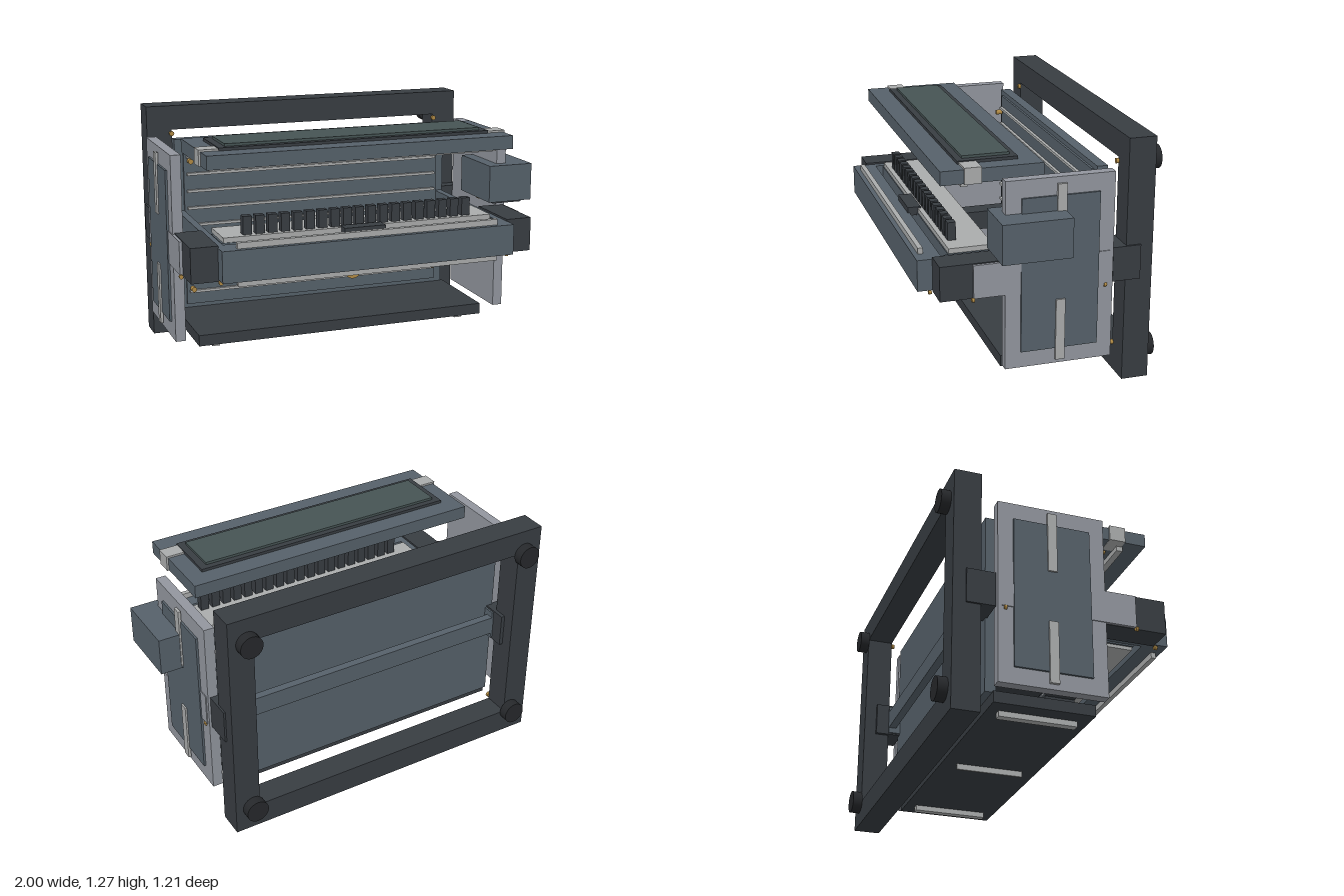
import * as THREE from 'three';

const CX = -0.055; // symmetry plane of the machine body

export function createModel() {
  const model = new THREE.Group();
  model.name = 'machine';
  const mat = (color) => new THREE.MeshStandardMaterial({ color });
  const dark = mat(0x383d42), black = mat(0x26282b), steel = mat(0x56616a);
  const plate = mat(0x92969e), light = mat(0xaaacac), brass = mat(0xb08a45), glass = mat(0x465454);

  const add = (name, geo, m) => {
    const mesh = new THREE.Mesh(geo, m);
    mesh.name = name;
    model.add(mesh);
    return mesh;
  };
  // box from its min and max on each axis
  const box = (name, m, x0, x1, y0, y1, z0, z1) =>
    add(name, new THREE.BoxGeometry(x1 - x0, y1 - y0, z1 - z0), m)
      .position.set((x0 + x1) / 2, (y0 + y1) / 2, (z0 + z1) / 2);
  // box centred across the machine, of half width h
  const wide = (name, m, h, ...yz) => box(name, m, CX - h, CX + h, ...yz);
  // mirrored pair of boxes, from a to b away from the symmetry plane
  const pair = (name, m, a, b, ...yz) => {
    box(name + 'Left', m, CX + a, CX + b, ...yz);
    box(name + 'Right', m, CX - b, CX - a, ...yz);
  };
  // cylinder along z
  const rod = (name, m, r, x, y, z0, z1, seg = 24) => {
    const c = add(name, new THREE.CylinderGeometry(r, r, z1 - z0, seg), m);
    c.rotation.x = Math.PI / 2;
    c.position.set(x, y, (z0 + z1) / 2);
  };

  // Rear frame with its opening
  const rect = (P, w, y0, y1) => {
    const p = new P();
    p.moveTo(CX - w, y0);
    p.lineTo(CX + w, y0);
    p.lineTo(CX + w, y1);
    p.lineTo(CX - w, y1);
    p.closePath();
    return p;
  };
  const outline = rect(THREE.Shape, 0.905, 0, 1.27);
  outline.holes.push(rect(THREE.Path, 0.77, 0.13, 1.14));
  add('rearFrame', new THREE.ExtrudeGeometry(outline, { depth: 0.14, bevelEnabled: false }), dark)
    .position.z = -0.555;

  // Corner feet and frame screws
  for (const s of [-1, 1]) {
    for (const t of [-1, 1]) {
      rod('rearFoot', black, 0.06, CX + s * 0.805, 0.635 + t * 0.502, -0.605, -0.555, 32);
      rod('frameScrew', brass, 0.013, CX + s * 0.772, 0.635 + t * 0.485, -0.415, -0.4, 12);
      rod('panelScrew', brass, 0.014, CX + s * 0.71, 0.635 + t * 0.355, -0.28, -0.245, 12);
    }
  }

  // Back panel with horizontal ribs
  wide('backPanel', steel, 0.785, 0.165, 1.105, -0.355, -0.3);
  wide('innerPanel', steel, 0.74, 0.19, 1.08, -0.3, -0.288);
  for (let i = 0; i < 9; i++) {
    const y = 0.262 + i * 0.0935;
    wide('panelRib', light, 0.725, y - 0.007, y + 0.007, -0.29, -0.272);
  }
  wide('rearCrossBar', steel, 0.755, 0.585, 0.685, -0.42, -0.378);

  // Side rails and their brackets
  pair('sideRail', steel, 0.74, 0.778, 0.555, 0.715, -0.42, 0.5);
  pair('rearBracket', dark, 0.75, 0.915, 0.547, 0.725, -0.49, -0.345);
  pair('frontBracket', dark, 0.775, 0.915, 0.547, 0.725, 0.2, 0.53);

  // Side plates with cover panel, arm and guide strips
  pair('sidePlate', plate, 0.872, 0.925, 0.155, 1.12, -0.34, 0.21);
  pair('sideArm', plate, 0.9, 0.93, 0.55, 0.72, -0.32, 0.368);
  pair('sideCover', steel, 0.92, 0.936, 0.24, 1.03, -0.262, 0.132);
  pair('lowerGuideStrip', light, 0.93, 0.945, 0.18, 0.5, -0.09, -0.043);
  pair('upperGuideStrip', light, 0.93, 0.945, 0.77, 1.09, -0.09, -0.043);
  for (const s of [-1, 1]) {
    for (const z of [-0.302, 0.37]) {
      rod('armScrew', brass, 0.011, CX + s * 0.925, 0.543, z - 0.007, z + 0.007, 12);
    }
    rod('beamScrew', brass, 0.011, CX + s * 0.77, 0.543, 0.535, 0.55, 12);
  }

  // Drive box on the left side
  box('driveBox', steel, 0.75, 1, 0.755, 0.955, -0.085, 0.265);
  box('driveBase', dark, 0.79, 0.96, 0.74, 0.757, -0.03, 0.23);
  rod('driveTip', brass, 0.012, 0.8, 0.74, 0.025, 0.045, 12);

  // Bottom tray and runners
  wide('bottomTray', dark, 0.8, 0.11, 0.168, -0.318, 0.195);
  pair('trayRunner', light, 0.675, 0.715, 0.082, 0.111, -0.262, 0.135);
  wide('centreRunner', light, 0.006, 0.08, 0.111, -0.24, 0.115);

  // Front beam
  wide('frontBeam', steel, 0.778, 0.555, 0.715, 0.48, 0.605);
  wide('beamTopStrip', light, 0.695, 0.715, 0.745, 0.555, 0.58);
  wide('beamBottomStrip', light, 0.695, 0.525, 0.555, 0.555, 0.58);

  // Carriage deck with a row of teeth
  wide('deck', light, 0.725, 0.712, 0.737, 0.21, 0.435);
  wide('deckBody', steel, 0.735, 0.55, 0.712, 0.24, 0.44);
  wide('deckUnderside', light, 0.725, 0.532, 0.55, 0.21, 0.435);
  wide('lowerBar', dark, 0.51, 0.515, 0.535, 0.21, 0.38);
  for (let i = 0; i < 19; i++) {
    const x = CX + (i - 9) * 0.066;
    box('tooth', dark, x - 0.023, x + 0.023, 0.735, 0.83, 0.368, 0.41);
  }

  // Central clamp and rollers under the deck
  wide('clamp', dark, 0.11, 0.483, 0.55, 0.21, 0.38);
  wide('clampTop', dark, 0.11, 0.7, 0.745, 0.42, 0.49);
  wide('clampFoot', light, 0.075, 0.467, 0.485, 0.25, 0.35);
  rod('centreRoller', brass, 0.044, CX, 0.47, 0.285, 0.315, 32);
  for (const s of [-1, 1]) rod('sideRoller', brass, 0.033, CX + s * 0.6, 0.507, 0.235, 0.255, 32);

  // Shaft coupling from the back panel to the carriage
  rod('rearCoupling', light, 0.04, CX, 0.61, -0.275, -0.22);
  rod('shaft', brass, 0.018, CX, 0.61, -0.225, -0.17);
  rod('frontCoupling', light, 0.043, CX, 0.61, -0.175, -0.11);
  wide('shaftHousing', dark, 0.05, 0.56, 0.66, -0.085, 0.24);

  // Display shelf
  wide('displayShelf', steel, 0.815, 1.09, 1.16, -0.018, 0.495);
  wide('displayBezel', dark, 0.725, 1.155, 1.175, 0.085, 0.388);
  wide('displayScreen', glass, 0.687, 1.17, 1.188, 0.117, 0.355);
  pair('displayClip', light, 0.722, 0.825, 1.088, 1.17, 0.295, 0.38);
  wide('shelfUnderBar', light, 0.775, 1.062, 1.092, 0.352, 0.385);
  for (const s of [-1, 1]) rod('shelfScrew', brass, 0.01, CX + s * 0.71, 1.08, 0.3, 0.315, 12);

  return model;
}
